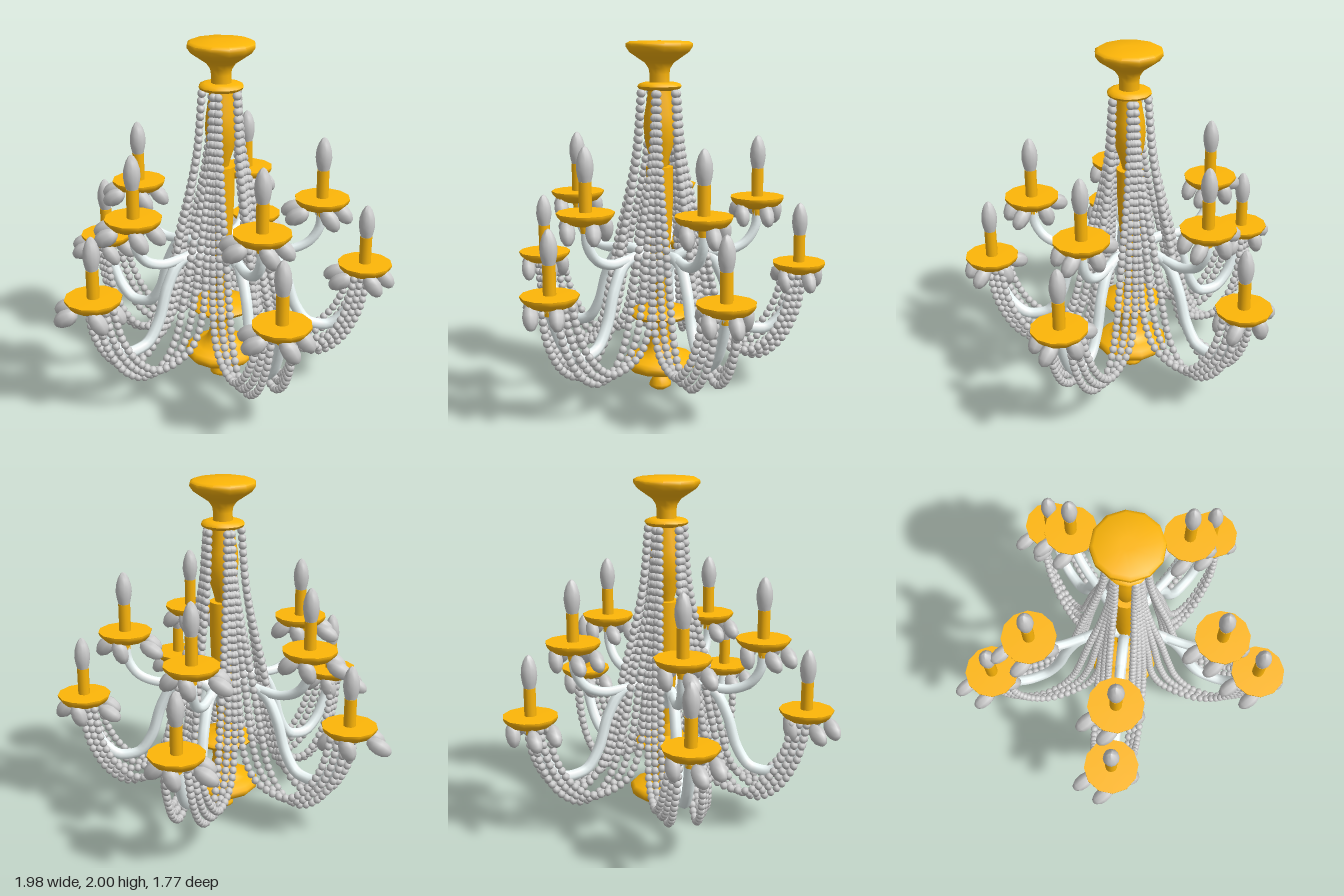
import * as THREE from 'three';
import { mergeGeometries, toCreasedNormals } from 'three/addons/utils/BufferGeometryUtils.js';

const gold = new THREE.MeshStandardMaterial({ color: 0xfdb608 });
const pale = new THREE.MeshStandardMaterial({ color: 0xf0fbfb });
const grey = new THREE.MeshStandardMaterial({ color: 0xcccccc });

const AXIS = new THREE.Vector3(0.04, 0, 0.085);
const ARM_ANGLES = [90, 15.3, 164.7, -52, 230.8]; // degrees from +x towards the back

function add(parent, name, geometry, material) {
  const mesh = new THREE.Mesh(geometry, material);
  mesh.name = name;
  parent.add(mesh);
  return mesh;
}

// Lathe from [radius, y] pairs listed bottom to top
function turned(points, sides = 12) {
  const g = new THREE.LatheGeometry(points.map(([r, y]) => new THREE.Vector2(r, y)), sides);
  return toCreasedNormals(g, 1.0);
}

// Smooth curve through [radius, y, sideways] points of one arm's plane
function armCurve(points, side = 1) {
  return new THREE.CatmullRomCurve3(points.map(([r, y, t = 0]) => new THREE.Vector3(r, y, t * side)));
}

// Evenly spaced beads threaded along a curve
function beadStrand(curve) {
  const count = Math.round(curve.getLength() / 0.042);
  const bead = new THREE.SphereGeometry(0.023, 7, 6);
  return mergeGeometries(curve.getSpacedPoints(count).map(p => bead.clone().translate(p.x, p.y, p.z)));
}

// Cup, candle, bulb and hanging crystals, with the cup rim at y = 0
function createLight() {
  const light = new THREE.Group();
  light.name = 'candleLight';
  add(light, 'dripCup', turned([
    [0, -0.11], [0.028, -0.11], [0.03, -0.066], [0.08, -0.064], [0.12, -0.05],
    [0.145, -0.025], [0.154, -0.006], [0.154, 0], [0, 0.002],
  ]), gold);
  add(light, 'candle', new THREE.CylinderGeometry(0.034, 0.034, 0.16, 12).translate(0, 0.08, 0), gold);
  add(light, 'bulb', turned([
    [0, 0.15], [0.03, 0.152], [0.04, 0.19], [0.046, 0.23], [0.043, 0.27],
    [0.031, 0.31], [0.015, 0.337], [0, 0.347],
  ]), grey);

  // Crystals: x, z, sideways lean from vertical
  const crystals = [[-0.17, -0.03, -1.1], [-0.12, 0.095, -1.0], [0.11, -0.03, 0.75], [0.065, 0.1, 0.6], [-0.01, -0.105, -0.35]];
  for (const [x, z, lean] of crystals) {
    const crystal = add(light, 'crystal', new THREE.SphereGeometry(1, 8, 6), grey);
    crystal.scale.set(0.048, 0.075, 0.042);
    crystal.position.set(x, -0.093, z);
    crystal.rotation.z = lean;
  }
  return light;
}

export function createModel() {
  const model = new THREE.Group();
  model.name = 'chandelier';
  const body = new THREE.Group();
  body.name = 'body';
  body.position.copy(AXIS);
  model.add(body);

  // Central stem
  add(body, 'finial', turned([
    [0, 0.005], [0.03, 0.01], [0.062, 0.03], [0.064, 0.045], [0.045, 0.08], [0.028, 0.115], [0.024, 0.15],
  ]), gold);
  add(body, 'lowerBowl', turned([
    [0, 0.13], [0.14, 0.13], [0.185, 0.143], [0.207, 0.165], [0.209, 0.19], [0.19, 0.208], [0.14, 0.22],
    [0.1, 0.24], [0.075, 0.28], [0.061, 0.34], [0.064, 0.4], [0.075, 0.45],
  ]), gold);
  add(body, 'lowerCollar', turned([
    [0, 0.435], [0.12, 0.437], [0.165, 0.45], [0.177, 0.468], [0.165, 0.486], [0.09, 0.495],
    [0.045, 0.51], [0.037, 0.58], [0, 0.58],
  ]), gold);
  add(body, 'stem', turned([
    [0.03, 0.56], [0.042, 0.68], [0.058, 0.85], [0.07, 1.0], [0.076, 1.15], [0.076, 1.31], [0, 1.312],
  ]), gold);
  add(body, 'upperVase', turned([
    [0.04, 1.3], [0.055, 1.36], [0.08, 1.44], [0.09, 1.53], [0.085, 1.6], [0.07, 1.68], [0.062, 1.75],
  ]), gold);
  add(body, 'upperCollar', turned([
    [0, 1.732], [0.09, 1.732], [0.115, 1.741], [0.123, 1.754], [0.115, 1.767], [0.09, 1.775], [0, 1.775],
  ]), gold);
  add(body, 'ceilingCanopy', turned([
    [0.057, 1.765], [0.055, 1.82], [0.06, 1.85], [0.08, 1.88], [0.12, 1.907], [0.165, 1.938], [0.186, 1.968],
    [0.184, 1.985], [0.165, 1.996], [0.04, 2.0], [0, 2.0],
  ]), gold);

  // Paths within an arm's plane
  const lowerArm = [[0.03, 0.7], [0.09, 0.79], [0.18, 0.825], [0.28, 0.8], [0.36, 0.67], [0.42, 0.48],
    [0.49, 0.372], [0.55, 0.348], [0.63, 0.348], [0.71, 0.415], [0.775, 0.54], [0.815, 0.66]];
  const upperArm = [[0.05, 0.76], [0.13, 0.815], [0.25, 0.82], [0.38, 0.815], [0.49, 0.86], [0.55, 0.95], [0.56, 1.06]];
  const outerStrand = [[0.09, 1.715, 0.052], [0.118, 1.4, 0.055], [0.17, 1.15, 0.062], [0.235, 0.9, 0.068], [0.3, 0.6, 0.072],
    [0.36, 0.38, 0.075], [0.45, 0.25, 0.078], [0.56, 0.21, 0.078], [0.68, 0.28, 0.075], [0.78, 0.45, 0.07], [0.825, 0.66, 0.06]];
  const middleStrand = [[0.088, 1.715, 0.054], [0.112, 1.4, 0.065], [0.155, 1.13, 0.08], [0.207, 0.85, 0.094], [0.26, 0.55, 0.104],
    [0.325, 0.36, 0.108], [0.425, 0.262, 0.11], [0.54, 0.238, 0.108], [0.655, 0.315, 0.1], [0.745, 0.475, 0.09], [0.785, 0.665, 0.075]];
  const innerStrand = [[0.085, 1.715, 0.055], [0.107, 1.4, 0.075], [0.14, 1.1, 0.1], [0.18, 0.8, 0.12], [0.22, 0.5, 0.135],
    [0.29, 0.34, 0.14], [0.4, 0.275, 0.14], [0.52, 0.265, 0.135], [0.63, 0.35, 0.125], [0.71, 0.5, 0.11], [0.745, 0.67, 0.09]];

  // Five arm pairs, each with two lights and mirrored bead strands
  for (const degrees of ARM_ANGLES) {
    const angle = THREE.MathUtils.degToRad(degrees);
    const arm = new THREE.Group();
    arm.name = 'armPair';
    arm.rotation.y = angle;
    body.add(arm);
    add(arm, 'lowerArm', new THREE.TubeGeometry(armCurve(lowerArm), 40, 0.032, 8), pale);
    add(arm, 'upperArm', new THREE.TubeGeometry(armCurve(upperArm), 28, 0.028, 8), pale);
    for (const side of [-1, 1]) {
      for (const strand of [outerStrand, middleStrand, innerStrand]) {
        add(arm, 'beadStrand', beadStrand(armCurve(strand, side)), grey);
      }
    }
    for (const [radius, y] of [[0.815, 0.735], [0.56, 1.128]]) {
      const light = createLight();
      light.position.set(radius * Math.cos(angle), y, -radius * Math.sin(angle));
      body.add(light);
    }
  }
  return model;
}
